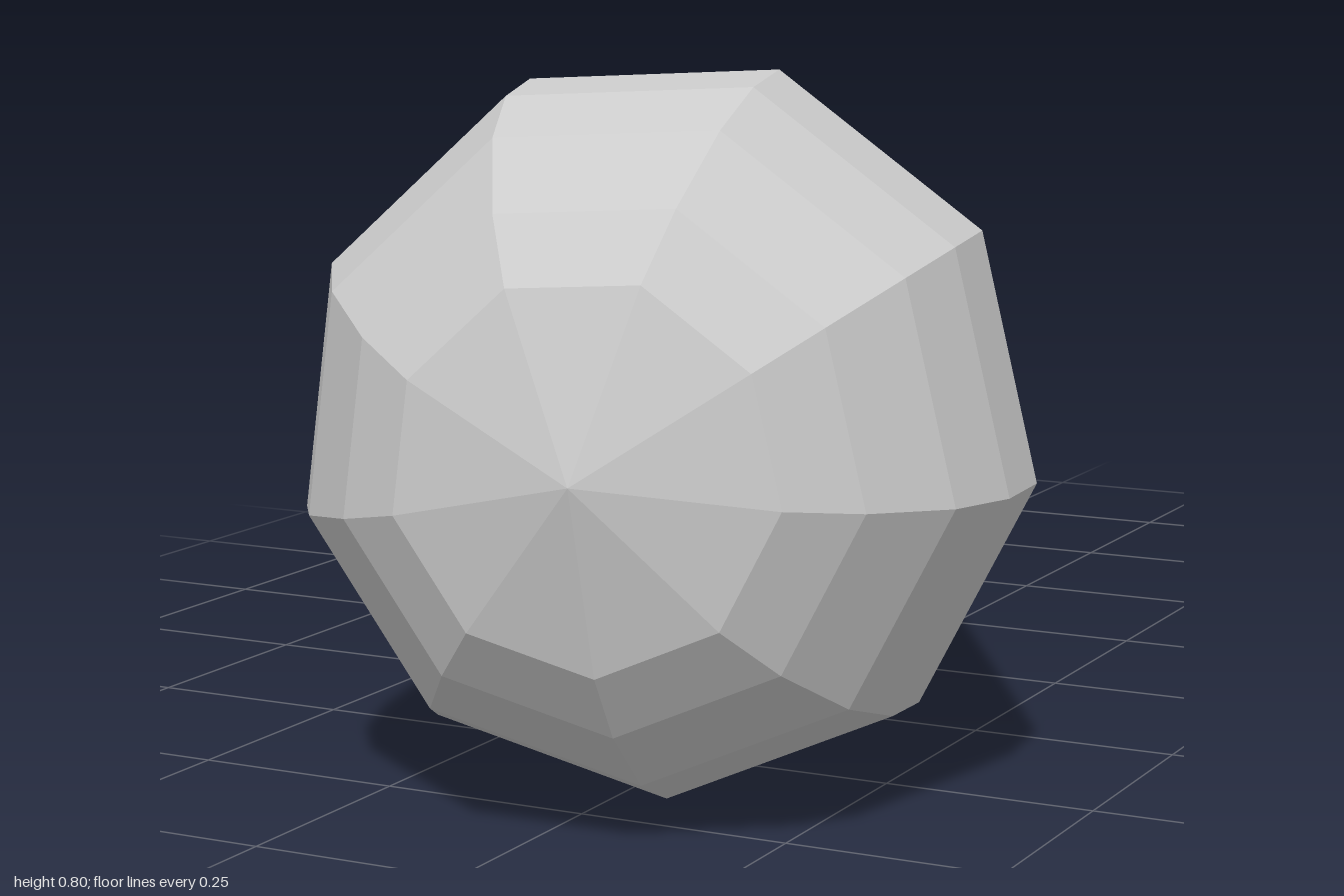
import * as THREE from 'three';

export function createModel() {
  const group = new THREE.Group();
  const sides = 9;
  const material = new THREE.MeshStandardMaterial({
    color: 0xcccccc, flatShading: true, side: THREE.DoubleSide,
  });

  // The axis runs from the open neck end to the pole of the rounded end
  const tail = new THREE.Vector3(-0.376, 0.39, -0.984);
  const pole = new THREE.Vector3(0.138, 0.417, 1.0);
  const axis = pole.clone().sub(tail);
  const length = axis.length();
  axis.normalize();
  const across = new THREE.Vector3(0, 1, 0).cross(axis).normalize();
  const frame = new THREE.Matrix4().makeBasis(across, axis, across.clone().cross(axis));

  const bulb = new THREE.Group();
  bulb.name = 'bulb';
  bulb.quaternion.setFromRotationMatrix(frame);
  bulb.position.copy(tail);
  group.add(bulb);

  // Profiles are pairs of radius and distance along the axis
  const turn = (name, profile) => {
    const points = profile.map(([r, h]) => new THREE.Vector2(r, h));
    const start = THREE.MathUtils.degToRad(82.7);
    const mesh = new THREE.Mesh(new THREE.LatheGeometry(points, sides, start), material);
    mesh.name = name;
    bulb.add(mesh);
  };

  const R = 0.412, neckR = 0.067, neckEnd = 0.61;
  const centre = length - R;

  // Open tube, flared body and domed end
  turn('neck', [[neckR, 0], [neckR, neckEnd]]);
  turn('body', [[neckR, neckEnd], [R, centre]]);
  turn('dome', [90, 75, 60, 43, 30, 0].map((deg) => {
    const a = THREE.MathUtils.degToRad(deg);
    return [R * Math.sin(a), centre + R * Math.cos(a)];
  }));

  return group;
}
